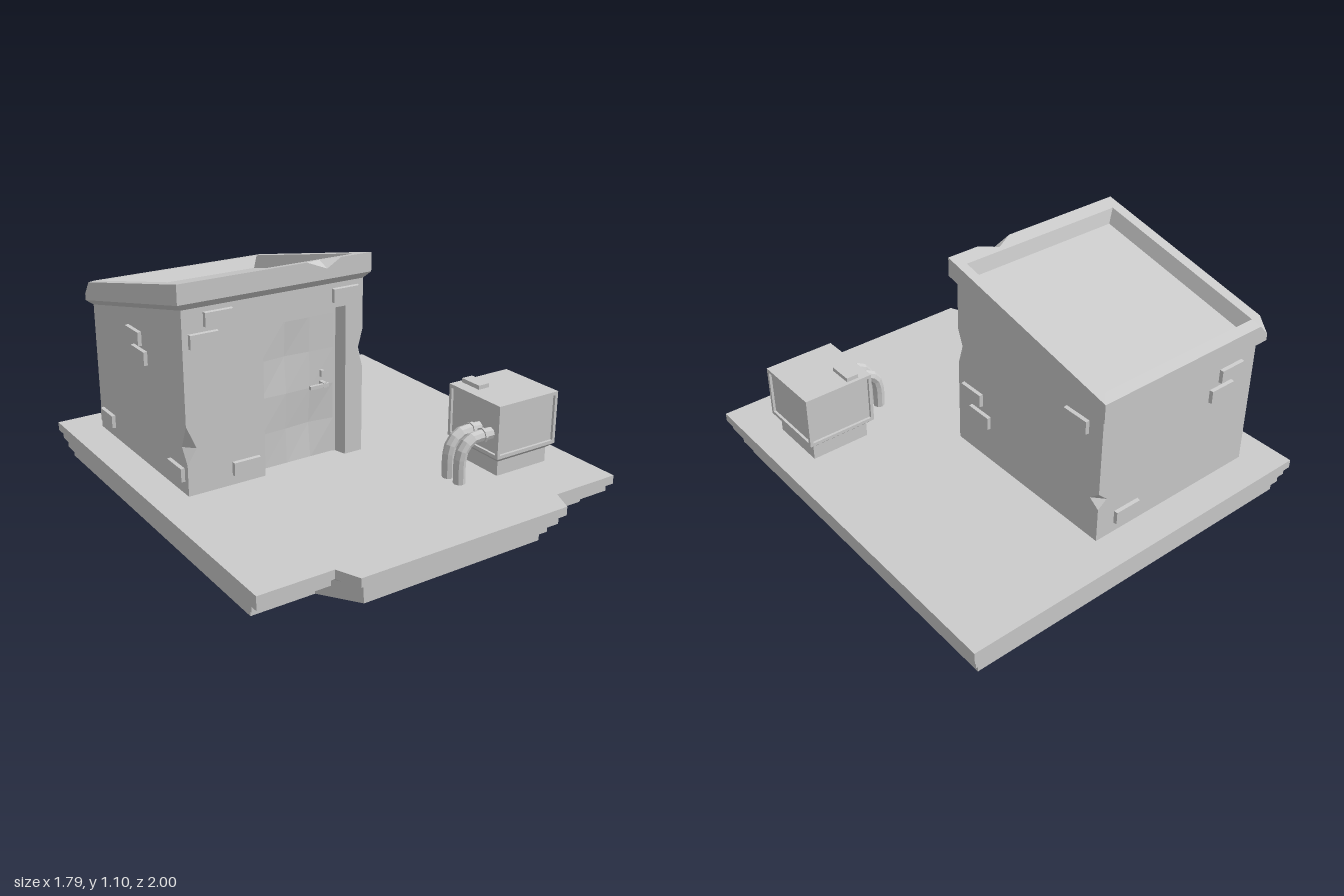
import * as THREE from 'three';

const mat = new THREE.MeshStandardMaterial({ color: 0xcccccc, flatShading: true });

// Flat-faced solid from polygons { c: contour, out: facing hint, hole }.
// Without a hint the contour must run counter-clockwise seen from outside.
function facets(name, faces) {
  const pos = [];
  for (const { c, out, hole } of faces) {
    const v = c.map((p) => new THREE.Vector3(...p));
    const n = out ? new THREE.Vector3(...out) : new THREE.Vector3();
    if (!out) v.forEach((p, i) => n.add(p.clone().cross(v[(i + 1) % v.length])));
    const a = n.toArray().map(Math.abs);
    const k = a.indexOf(Math.max(...a));
    const flat = (pts) => pts.map((p) => new THREE.Vector2(p[(k + 1) % 3], p[(k + 2) % 3]));
    const all = hole ? v.concat(hole.map((p) => new THREE.Vector3(...p))) : v;
    // triangulateShape expects a consistent ring; each triangle is turned to face outward
    for (const t of THREE.ShapeUtils.triangulateShape(flat(c), hole ? [flat(hole)] : [])) {
      const [p, q, r] = t.map((i) => all[i]);
      const tn = q.clone().sub(p).cross(r.clone().sub(p));
      const tri = tn.dot(n) < 0 ? [p, r, q] : [p, q, r];
      tri.forEach((w) => pos.push(w.x, w.y, w.z));
    }
  }
  const g = new THREE.BufferGeometry();
  g.setAttribute('position', new THREE.Float32BufferAttribute(pos, 3));
  g.computeVertexNormals();
  return named(name, g);
}

function named(name, geometry, x = 0, y = 0, z = 0) {
  const m = new THREE.Mesh(geometry, mat);
  m.name = name;
  m.position.set(x, y, z);
  return m;
}

const box = (name, w, h, d, x, y, z) => named(name, new THREE.BoxGeometry(w, h, d), x, y, z);

// Quads joining two rings of equal length
const band = (a, b) => a.map((p, i) => {
  const j = (i + 1) % a.length;
  return { c: [p, a[j], b[j], b[i]] };
});

// Stepped plinth with a projecting front
function plinth() {
  const steps = [ // y low, y high, half width, back, front, projection half width, projection front
    [0, 0.03, 0.845, -0.955, 0.76, 0.445, 0.92],
    [0.045, 0.08, 0.865, -0.97, 0.805, 0.465, 0.945],
    [0.09, 0.118, 0.88, -0.985, 0.87, 0.49, 0.98],
    [0.13, 0.17, 0.895, -1, 0.895, 0.515, 1],
  ];
  const rings = steps.flatMap(([y0, y1, w, b, f, iw, pf]) => [y0, y1].map((y) => [
    [-w, y, f], [-0.56, y, f], [-iw, y, pf], [iw, y, pf], [0.56, y, f], [w, y, f], [w, y, b], [-w, y, b],
  ]));
  const faces = [{ c: rings[0], out: [0, -1, 0] }, { c: rings[7], out: [0, 1, 0] }];
  for (let i = 0; i < 7; i++) faces.push(...band(rings[i], rings[i + 1]));
  return facets('plinth', faces);
}

// Hut extents and the sloping roof plane
const L = -0.735, R = 0.14, F = 0.065, B = -0.84, G = 0.17;
const roofY = (z, h = 0) => 1.096 + (z - 0.09) * 0.225 + h;

function walls() {
  // Broken corners: bottom, notch and top heights, with the notch reach along x and z
  const chip = (x, z, y0, ym, y1, dx, dz) => {
    const lo = [x, y0, z], hi = [x, y1, z];
    const px = [x - Math.sign(x) * dx, ym, z], pz = [x, ym, z - Math.sign(z) * dz];
    const out = [Math.sign(x), 0, Math.sign(z)];
    return { alongX: [lo, px, hi], alongZ: [lo, pz, hi],
      faces: [{ c: [hi, px, pz], out: [out[0], -0.01, out[2]] }, { c: [lo, px, pz], out: [out[0], 0.01, out[2]] }] };
  };
  const fl = chip(L, F, 0.31, 0.38, 0.485, 0.045, 0.045);
  const fr = chip(R, F, 0.575, 0.66, 0.75, 0.025, 0.035);
  const br = chip(R, B, 0.335, 0.37, 0.415, 0.045, 0.05);
  const rev = (a) => [...a].reverse();
  const tf = roofY(F, -0.11), tb = roofY(B, -0.11);
  // Bevelled doorway
  const outer = [[-0.365, G, F], [-0.365, 0.87, F], [0.05, 0.87, F], [0.05, G, F]];
  const zi = 0.008;
  const inner = [[-0.347, G, zi], [-0.347, 0.852, zi], [0.035, 0.852, zi], [0.035, G, zi]];
  const lip = [[0.022, G, zi], [0.022, 0.828, zi], [-0.335, 0.828, zi], [-0.335, G, zi]];
  const jamb = [[1, 0, 0.3], [0, -1, 0.3], [-1, 0, 0.3]].map((out, i) => (
    { c: [outer[i], outer[i + 1], inner[i + 1], inner[i]], out }));
  return facets('walls', [
    { c: [[L, G, F], ...outer, [R, G, F], ...fr.alongX, [R, tf, F], [L, tf, F], ...rev(fl.alongX)], out: [0, 0, 1] },
    { c: [[R, G, F], [R, G, B], ...br.alongZ, [R, tb, B], [R, tf, F], ...rev(fr.alongZ)], out: [1, 0, 0] },
    { c: [[L, G, B], [R, G, B], ...br.alongX, [R, tb, B], [L, tb, B]], out: [0, 0, -1] },
    { c: [[L, G, B], [L, G, F], ...fl.alongZ, [L, tf, F], [L, tb, B]], out: [-1, 0, 0] },
    ...fl.faces, ...fr.faces, ...br.faces, ...jamb,
    { c: [...inner, ...lip], out: [0, 0, 1] },
  ]);
}

// Sloping tray roof with a chipped front edge and back corner
function roof() {
  const ring = (x0, x1, z0, z1, h) => [[x0, z1], [x1, z1], [x1, z0], [x0, z0]].map(([x, z]) => [x, roofY(z, h), z]);
  const x0 = -0.76, x1 = 0.167, z0 = -0.87, z1 = 0.088;
  const top = ring(x0, x1, z0, z1, 0), low = ring(x0, x1, z0, z1, -0.086);
  const under = ring(L, R, B, F, -0.11);
  const rim = ring(-0.71, 0.122, -0.82, 0.02, 0), floor = ring(-0.678, 0.094, -0.798, 0.004, -0.06);
  const at = (x, z, h = 0) => [x, roofY(z, h), z];
  const a = at(-0.16, z1), b = at(0.01, z1), m = at(-0.07, 0.042), q = at(-0.06, z1, -0.04);
  const c1 = at(-0.71, z0), c2 = at(x0, -0.82), c3 = at(x0, z0, -0.055);
  return facets('roof', [
    { c: [top[0], a, m, b, top[1], top[2], c1, c2], hole: rim, out: [0, 1, 0] },
    { c: [low[0], low[1], top[1], b, q, a, top[0]], out: [0, 0, 1] },
    { c: [low[1], low[2], top[2], top[1]], out: [1, 0, 0] },
    { c: [low[2], low[3], c3, c1, top[2]], out: [0, 0, -1] },
    { c: [low[3], low[0], top[0], c2, c3], out: [-1, 0, 0] },
    { c: [a, q, m], out: [0, 1, 1] }, { c: [q, b, m], out: [0, 1, 1] },
    { c: [c1, c2, c3], out: [-1, 1, -1] },
    ...band(under, low), ...band(rim, floor), { c: floor, out: [0, 1, 0] },
    { c: under, out: [0, -1, 0] },
  ]);
}

// Dented door leaf with handle and lock
function door() {
  const g = new THREE.Group();
  g.name = 'door';
  const leaf = new THREE.PlaneGeometry(0.37, 0.67, 3, 4);
  const dents = { 5: -0.012, 6: -0.004, 9: 0.003, 13: -0.006, 14: -0.016 };
  for (const i in dents) leaf.attributes.position.setZ(+i, dents[i]);
  g.add(named('doorLeaf', leaf, -0.157, 0.5, 0.002));
  g.add(box('handleLever', 0.095, 0.016, 0.014, -0.067, 0.512, 0.034));
  g.add(box('handleStem', 0.018, 0.024, 0.04, -0.038, 0.512, 0.018));
  g.add(box('lock', 0.014, 0.03, 0.02, -0.038, 0.56, 0.01));
  return g;
}

// Proud bricks: position along the wall, height, per wall
function bricks() {
  const g = new THREE.Group();
  g.name = 'bricks';
  const geo = new THREE.BoxGeometry(0.135, 0.066, 0.034);
  const p = geo.attributes.position;
  for (let i = 0; i < p.count; i++) if (p.getZ(i) > 0) p.setXY(i, p.getX(i) * 0.95, p.getY(i) * 0.9);
  const add = (x, y, z, turn) => {
    const m = named('brick', geo, x, y, z);
    m.rotation.y = turn;
    g.add(m);
  };
  [[-0.572, 0.928], [-0.642, 0.845], [0.045, 0.926], [-0.46, 0.245]].forEach(([x, y]) => add(x, y, F, 0));
  [[-0.037, 0.463], [-0.092, 0.372], [-0.698, 0.705]].forEach(([z, y]) => add(R, y, z, Math.PI / 2));
  [[-0.585, 0.7], [-0.535, 0.62], [-0.02, 0.248]].forEach(([x, y]) => add(x, y, B, Math.PI));
  [[-0.39, 0.755], [-0.34, 0.68], [-0.03, 0.258], [-0.74, 0.25]].forEach(([z, y]) => add(L, y, z, -Math.PI / 2));
  return g;
}

// Utility cabinet on a pedestal, with recessed panels on each side
function cabinet() {
  const g = new THREE.Group();
  g.name = 'cabinet';
  const cx = 0.608, cz = 0.48, w = 0.167, y0 = 0.262, y1 = 0.507, d = w - 0.012;
  const rect = (h, b, t, z) => [[-h, b, z], [h, b, z], [h, t, z], [-h, t, z]];
  const rim = rect(0.152, 0.278, 0.491, w), back = rect(0.152, 0.278, 0.491, d);
  for (let i = 0; i < 4; i++) {
    const side = facets('cabinetSide', [
      { c: rect(w, y0, y1, w), hole: rim, out: [0, 0, 1] },
      ...band(rim, back), { c: back, out: [0, 0, 1] },
      { c: [[-0.14, 0.238, 0.14], [0.14, 0.238, 0.14], [w, y0, w], [-w, y0, w]] },
      { c: [[-w, y1, w], [w, y1, w], [0, y1, 0]] },
    ]);
    side.position.set(cx, 0, cz);
    side.rotation.y = i * Math.PI / 2;
    g.add(side);
  }
  g.add(box('pedestal', 0.28, 0.07, 0.28, cx, 0.205, cz));
  g.add(box('cabinetCap', 0.058, 0.02, 0.115, 0.526, 0.516, 0.387));
  // Twin pipes bending down to the plinth
  for (const z of [0.507, 0.583]) {
    const path = new THREE.CatmullRomCurve3([[0.288, 0.17], [0.288, 0.28], [0.305, 0.33], [0.35, 0.362], [0.4, 0.364], [0.46, 0.364]]
      .map(([x, y]) => new THREE.Vector3(x, y, z)));
    g.add(named('pipe', new THREE.TubeGeometry(path, 9, 0.027, 8), 0, 0, 0));
    const collar = named('pipeCollar', new THREE.CylinderGeometry(0.034, 0.034, 0.012, 8), 0.407, 0.364, z);
    collar.rotation.z = Math.PI / 2;
    g.add(collar);
  }
  return g;
}

export function createModel() {
  const model = new THREE.Group();
  model.name = 'rooftopHut';
  model.add(plinth(), walls(), roof(), door(), bricks(), cabinet());
  return model;
}
